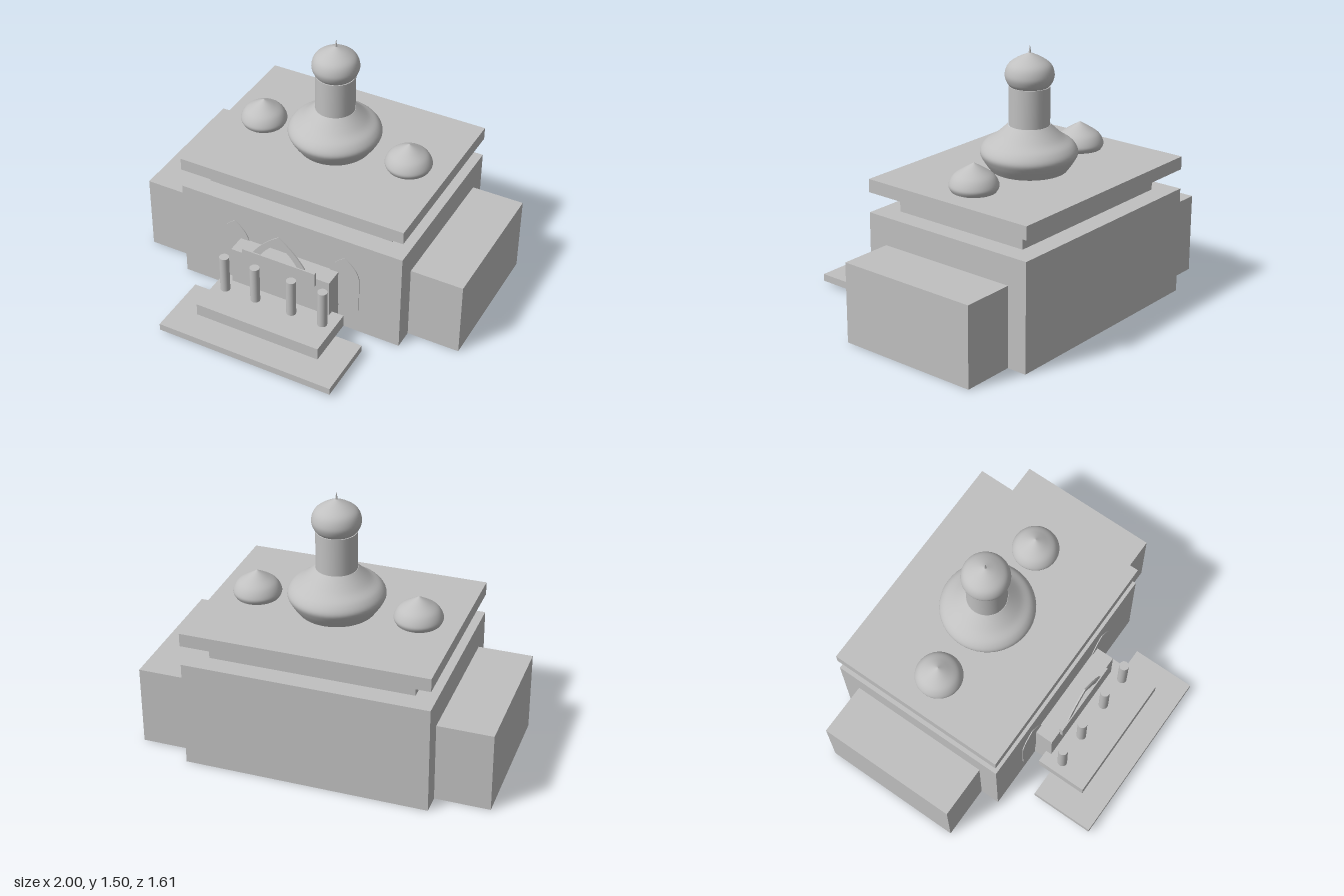
import * as THREE from 'three';

export function createModel() {
  const model = new THREE.Group();
  model.name = 'domedPavilion';
  const stone = new THREE.MeshStandardMaterial({ color: 0xc0c0c0 });
  stone.name = 'grey stone';

  const add = (name, geometry, x = 0, y = 0, z = 0) => {
    const mesh = new THREE.Mesh(geometry, stone);
    mesh.name = name;
    mesh.position.set(x, y, z);
    model.add(mesh);
    return mesh;
  };
  // Box given by its extents
  const box = (name, x0, x1, y0, y1, z0, z1) =>
    add(name, new THREE.BoxGeometry(x1 - x0, y1 - y0, z1 - z0),
      (x0 + x1) / 2, (y0 + y1) / 2, (z0 + z1) / 2);
  // Smooth turned dome from a few profile points
  const dome = (name, profile, x, z) => {
    const curve = new THREE.SplineCurve(profile.map(([r, y]) => new THREE.Vector2(r, y)));
    const points = curve.getPoints(28);
    points.forEach((p) => { p.x = Math.max(p.x, 0); });
    return add(name, new THREE.LatheGeometry(points, 48), x, 0, z);
  };
  // Pointed arch outline: half width, foot, springing and peak heights
  const archPath = (path, w, foot, spring, peak, bend) => {
    path.moveTo(-w, foot);
    path.lineTo(w, foot);
    path.lineTo(w, spring);
    path.quadraticCurveTo(w * bend, spring + (peak - spring) * 0.55, 0, peak);
    path.quadraticCurveTo(-w * bend, spring + (peak - spring) * 0.55, -w, spring);
    path.closePath();
    return path;
  };
  const plate = (name, shape, depth, x, z) =>
    add(name, new THREE.ExtrudeGeometry(shape, { depth, bevelEnabled: false, curveSegments: 12 }), x, 0, z);

  // Main hall, wings and roof
  box('mainHall', -0.69, 0.69, 0, 0.62, -0.805, 0.27);
  for (const s of [-1, 1]) {
    box(s > 0 ? 'leftWing' : 'rightWing', Math.min(s * 0.69, s), Math.max(s * 0.69, s), 0, 0.46, -0.69, 0.153);
  }
  box('upperTier', -0.575, 0.575, 0.62, 0.712, -0.69, 0.153);
  box('roofSlab', -0.69, 0.69, 0.735, 0.81, -0.805, 0.27);

  // Entrance block, lintel and steps
  box('entranceBlock', -0.31, 0.31, 0, 0.388, 0.27, 0.383);
  box('lintel', -0.228, 0.228, 0.343, 0.432, 0.38, 0.4);
  box('upperStep', -0.383, 0.383, 0.08, 0.155, 0.347, 0.653);
  box('lowerStep', -0.537, 0.537, 0.02, 0.062, 0.425, 0.805);

  // Entrance columns
  for (const x of [-0.31, -0.115, 0.115, 0.31]) {
    add('entranceColumn', new THREE.CylinderGeometry(0.028, 0.028, 0.388, 24), x, 0.194, 0.461);
  }

  // Pointed arch frame over the lintel
  const frame = archPath(new THREE.Shape(), 0.167, 0.35, 0.425, 0.597, 0.66);
  frame.holes.push(archPath(new THREE.Path(), 0.118, 0.36, 0.425, 0.55, 0.66));
  plate('entranceArch', frame, 0.008, 0, 0.385);

  // Shallow arched panels beside the entrance
  for (const s of [-1, 1]) {
    const panel = archPath(new THREE.Shape(), 0.092, 0.157, 0.375, 0.502, 0.9);
    plate('wallArch', panel, 0.005, s * 0.347, 0.27);
  }

  // Central bulbous dome, drum, upper dome and finial
  const cz = -0.27;
  dome('mainDome', [[0.212, 0.81], [0.25, 0.865], [0.267, 0.91], [0.242, 0.955],
    [0.185, 0.995], [0.115, 1.06]], 0, cz);
  add('drum', new THREE.CylinderGeometry(0.113, 0.113, 0.215, 32), 0, 1.1675, cz);
  dome('upperDome', [[0.1, 1.268], [0.122, 1.295], [0.134, 1.338], [0.117, 1.39],
    [0.068, 1.428], [0, 1.46]], 0, cz);
  add('finial', new THREE.ConeGeometry(0.008, 0.05, 12), 0, 1.477, cz);

  // Small side domes
  for (const s of [-1, 1]) {
    dome('sideDome', [[0.122, 0.81], [0.134, 0.842], [0.11, 0.89], [0.058, 0.928], [0, 0.963]], s * 0.46, cz);
  }
  return model;
}
